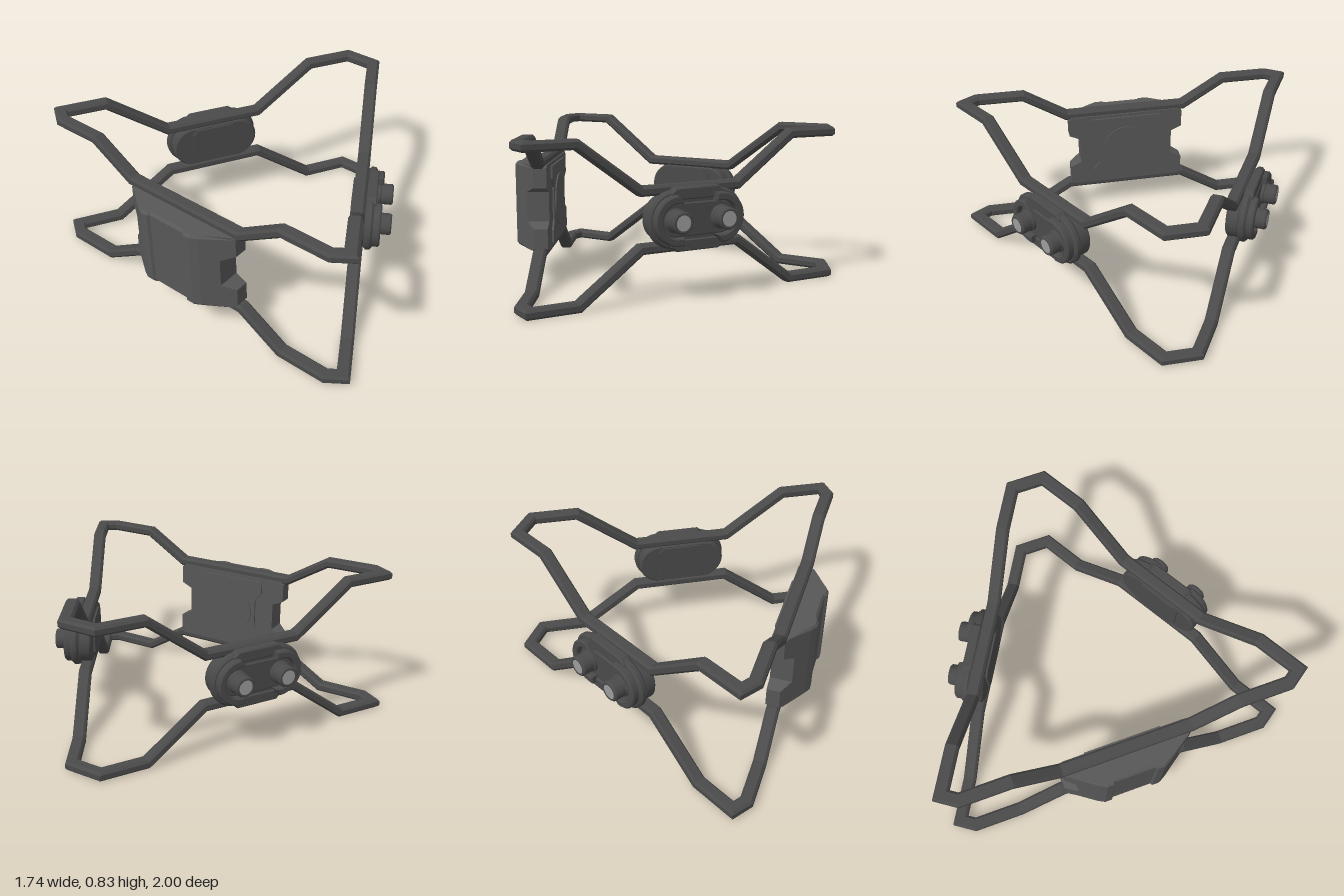
import * as THREE from 'three';
import { toCreasedNormals } from 'three/addons/utils/BufferGeometryUtils.js';

const V = (x, y, z) => new THREE.Vector3(x, y, z);
const MID = 0.42; // mirror height of the two rails

function material(name, color) {
  const m = new THREE.MeshStandardMaterial({ color });
  m.name = name;
  return m;
}

// Skin rings of points; closed joins last ring to first, otherwise ends are capped
function loft(rings, closed) {
  const tris = [];
  const n = rings[0].length;
  const count = closed ? rings.length : rings.length - 1;
  for (let i = 0; i < count; i++) {
    const a = rings[i], b = rings[(i + 1) % rings.length];
    for (let j = 0; j < n; j++) {
      const k = (j + 1) % n;
      tris.push([a[j], a[k], b[k]], [a[j], b[k], b[j]]);
    }
  }
  if (!closed) {
    [rings[0], rings[rings.length - 1]].forEach((ring, end) => {
      const c = ring.reduce((s, p) => s.add(p), V(0, 0, 0)).divideScalar(n);
      ring.forEach((p, j) => {
        const q = ring[(j + 1) % n];
        tris.push(end ? [c, p, q] : [c, q, p]);
      });
    });
  }
  // Turn faces outward using the signed volume
  let volume = 0;
  for (const [a, b, c] of tris) volume += a.dot(V(0, 0, 0).crossVectors(b, c));
  const pts = tris.flatMap(([a, b, c]) => (volume < 0 ? [a, c, b] : [a, b, c]));
  const g = new THREE.BufferGeometry().setFromPoints(pts);
  g.computeVertexNormals();
  return g;
}

// Outer corner line of the triangular frame, dipping along each long side
function railPath() {
  const path = [];
  const high = 0.812;
  const side = (p, q, bends, low) => {
    const a = V(p[0], high, p[1]), b = V(q[0], high, q[1]);
    const mid = a.clone().lerp(b, 0.5), dir = b.clone().sub(a).normalize();
    const at = (t, y) => mid.clone().addScaledVector(dir, t).setY(y);
    path.push(a, at(-bends[0], high), at(-bends[1], low), at(bends[1], low), at(bends[0], high), b);
  };
  side([0.865, -0.11], [-0.675, -1], [0.612, 0.277], 0.565);
  side([-0.75, -0.89], [-0.75, 0.89], [0.61, 0.36], 0.66);
  side([-0.675, 1], [0.865, 0.11], [0.612, 0.277], 0.565);
  return path;
}

// Chamfered rectangular bar mitred at every bend
function railGeometry(path) {
  const w = 0.07, h = 0.025, c = 0.012;
  const section = [
    [0, -h + c], [0, h - c], [-c, h], [-w + c, h],
    [-w, h - c], [-w, -h + c], [-w + c, -h], [-c, -h],
  ];
  const n = path.length;
  const mitre = (a, b) => a.clone().add(b).divideScalar(1 + a.dot(b));
  const frames = path.map((p, i) => {
    const d = path[(i + 1) % n].clone().sub(p).normalize();
    const out = V(0, 0, 0).crossVectors(d, V(0, 1, 0)).normalize();
    return { out, up: V(0, 0, 0).crossVectors(out, d) };
  });
  const rings = path.map((p, i) => {
    const f0 = frames[(i + n - 1) % n], f1 = frames[i];
    const out = mitre(f0.out, f1.out), up = mitre(f0.up, f1.up);
    return section.map(([a, b]) => p.clone().addScaledVector(out, a).addScaledVector(up, b));
  });
  return loft(rings, true);
}

// Extrude from z0 to z1 with a small bevel kept inside the outline depth
function slab(shape, z0, z1, bevel = 0) {
  const g = new THREE.ExtrudeGeometry(shape, {
    depth: z1 - z0 - 2 * bevel, curveSegments: 14, bevelEnabled: bevel > 0,
    bevelSize: bevel, bevelThickness: bevel, bevelOffset: -bevel, bevelSegments: 1,
  });
  g.translate(0, 0, z0 + bevel);
  return toCreasedNormals(g, 0.5);
}

function stadium(half, r) {
  const s = new THREE.Shape();
  const c = half - r;
  s.absarc(c, 0, r, -Math.PI / 2, Math.PI / 2, false);
  s.absarc(-c, 0, r, Math.PI / 2, Math.PI * 1.5, false);
  return s;
}

function polygon(points) {
  return new THREE.Shape(points.map(([x, y]) => new THREE.Vector2(x, y)));
}

export function createModel() {
  const model = new THREE.Group();
  model.name = 'triangularFrame';
  const frameMat = material('dark grey', 0x4a4a4a);
  const panelMat = material('mid grey', 0x575757);
  const lensMat = material('light grey', 0x9c9c9c);
  const add = (parent, name, geometry, mat) => {
    const mesh = new THREE.Mesh(geometry, mat);
    mesh.name = name;
    parent.add(mesh);
    return mesh;
  };

  // Upper and lower rails
  const path = railPath();
  add(model, 'upperRail', railGeometry(path), frameMat);
  add(model, 'lowerRail', railGeometry(path.map((p) => V(p.x, 2 * MID - p.y, p.z))), frameMat);

  // Twin-lens pods on the two slanted sides
  const podParts = (pod) => {
    add(pod, 'podRear', slab(stadium(0.255, 0.125), -0.07, 0.005, 0.01), frameMat);
    add(pod, 'podRearCover', slab(polygon([
      [-0.14, -0.08], [-0.11, -0.11], [0.11, -0.11], [0.14, -0.08],
      [0.14, 0.08], [0.11, 0.11], [-0.11, 0.11], [-0.14, 0.08],
    ]), -0.08, -0.06), frameMat);
    add(pod, 'podBase', slab(stadium(0.272, 0.148), 0, 0.045, 0.012), frameMat);
    add(pod, 'podFace', slab(stadium(0.215, 0.085), 0.03, 0.055, 0.006), frameMat);
    for (const s of [1, -1]) {
      // Raised rim around each end
      const rim = new THREE.Shape();
      rim.moveTo(0.09, -0.128);
      rim.absarc(0.125, 0, 0.128, -Math.PI / 2, Math.PI / 2, false);
      rim.lineTo(0.09, 0.128);
      rim.lineTo(0.09, 0.085);
      rim.absarc(0.125, 0, 0.085, Math.PI / 2, -Math.PI / 2, true);
      rim.lineTo(0.09, -0.085);
      add(pod, 'podRim', slab(rim, 0.03, 0.085, 0.008), frameMat).rotation.z = s > 0 ? 0 : Math.PI;

      // Clamp over each rail
      const clamp = polygon([[-0.15, 0.1], [0.15, 0.1], [0.15, 0.135], [0.12, 0.16], [-0.12, 0.16], [-0.15, 0.135]]);
      add(pod, 'podClamp', slab(clamp, 0, 0.055, 0.006), frameMat).rotation.z = s > 0 ? 0 : Math.PI;

      // Lens barrel and glass
      const barrel = new THREE.LatheGeometry([
        [0.062, 0.04], [0.062, 0.07], [0.057, 0.075], [0.057, 0.132], [0.05, 0.14], [0.04, 0.14], [0.04, 0.13], [0, 0.13],
      ].map(([r, y]) => new THREE.Vector2(r, y)), 28);
      barrel.rotateX(Math.PI / 2);
      barrel.translate(s * 0.13, 0, 0);
      add(pod, 'lensBarrel', toCreasedNormals(barrel, 0.5), frameMat);
      const lens = new THREE.CylinderGeometry(0.04, 0.04, 0.009, 28);
      lens.rotateX(Math.PI / 2);
      lens.translate(s * 0.13, 0, 0.134);
      add(pod, 'lens', lens, lensMat);
    }
  };
  for (const s of [1, -1]) {
    const pod = new THREE.Group();
    pod.name = s > 0 ? 'frontPod' : 'rearPod';
    pod.position.set(0.0975, MID, s * 0.555);
    pod.rotation.y = s > 0 ? Math.PI / 6 : (Math.PI * 5) / 6;
    podParts(pod);
    model.add(pod);
  }

  // Side housing: plan sections stacked upwards, waisted in the middle
  const housingRing = ([y, w, inset]) => {
    const half = [
      [-0.672, w], [-0.745, w], [-0.745 - 0.7 * (0.35 - w), w - 0.001],
      [-0.85 + inset, 0.2], [-0.872 + inset, 0.16], [-0.872 + inset, 0.12], [-0.86 + inset, 0.11],
    ];
    return [...half, ...half.slice().reverse().map(([x, z]) => [x, -z])].map(([x, z]) => V(x, y, z));
  };
  const levels = [
    [0.19, 0.33, 0.012], [0.205, 0.35, 0], [0.31, 0.35, 0], [0.34, 0.285, 0],
    [0.5, 0.285, 0], [0.53, 0.35, 0], [0.635, 0.35, 0], [0.65, 0.33, 0.012],
  ];
  add(model, 'sideHousing', loft(levels.map(housingRing), false), panelMat);

  // Inner plate and round cap of the housing
  const plate = polygon([
    [-0.21, -0.21], [0.21, -0.21], [0.21, -0.14], [0.17, -0.09], [0.17, 0.09], [0.21, 0.14],
    [0.21, 0.21], [-0.21, 0.21], [-0.21, 0.14], [-0.17, 0.09], [-0.17, -0.09], [-0.21, -0.14],
  ]);
  const inner = add(model, 'innerPlate', slab(plate, 0, 0.012), panelMat);
  inner.position.set(-0.674, MID, 0);
  inner.rotation.y = Math.PI / 2;
  const cap = add(model, 'roundCap', new THREE.CylinderGeometry(0.145, 0.145, 0.03, 40), panelMat);
  cap.position.set(-0.67, MID, 0);
  cap.rotation.z = -Math.PI / 2;
  return model;
}
